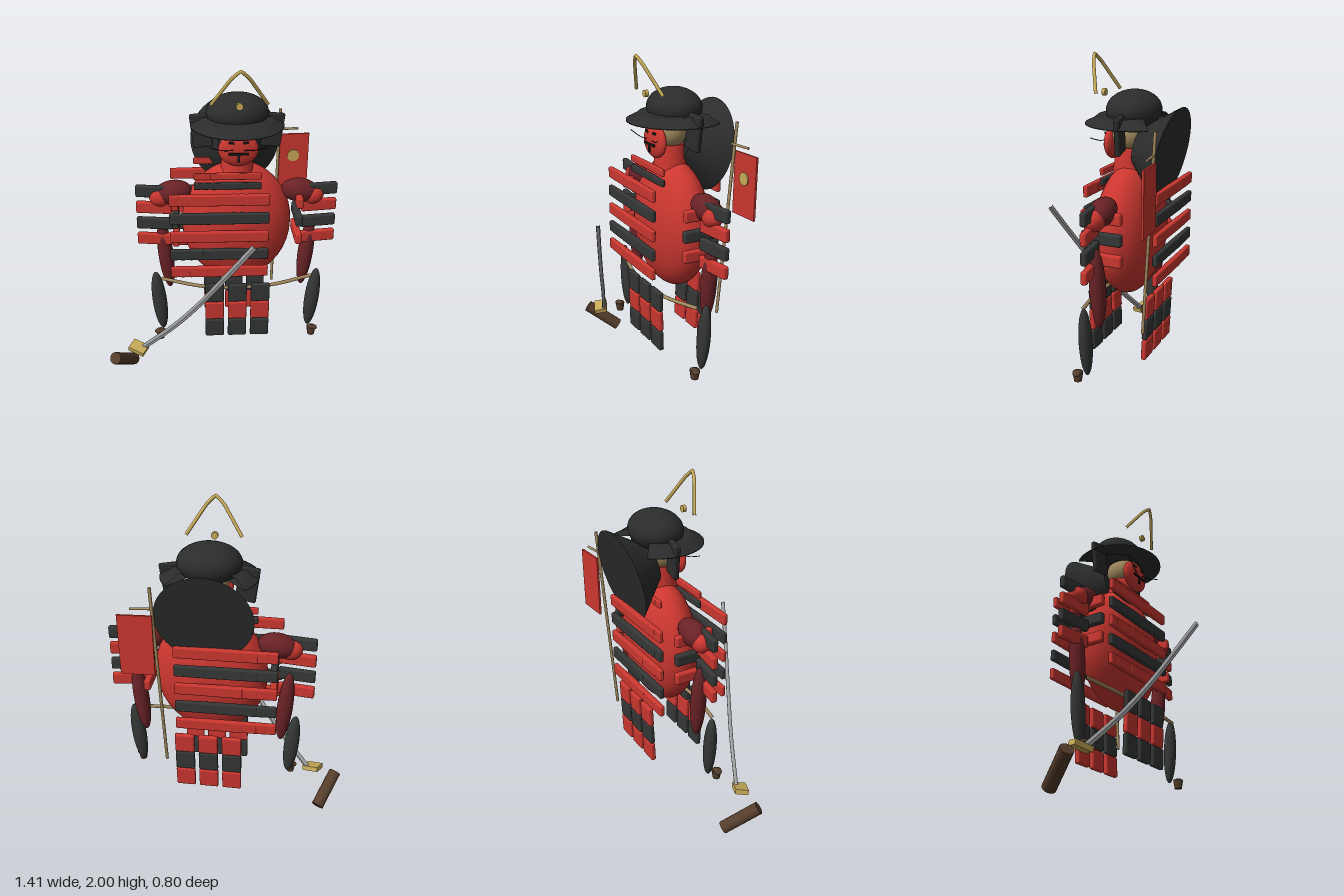
import * as THREE from 'three';
import { RoundedBoxGeometry } from 'three/addons/geometries/RoundedBoxGeometry.js';

const CX = 0.1; // the figure's own centre line
const V = (x, y, z) => new THREE.Vector3(x, y, z);

export function createModel() {
  const root = new THREE.Group();
  root.name = 'armouredWarrior';
  const paint = (name, color, side = THREE.FrontSide) => {
    const m = new THREE.MeshStandardMaterial({ color, side });
    m.name = name;
    return m;
  };
  const red = paint('lacquerRed', 0xcc3730);
  const black = paint('lacquerBlack', 0x353737);
  const iron = paint('helmetIron', 0x2b2c2c, THREE.DoubleSide);
  const maroon = paint('darkRed', 0x692226);
  const gold = paint('gold', 0xc8aa58);
  const tan = paint('tan', 0xa38b5f);
  const brown = paint('brown', 0x553d2b);
  const steel = paint('steel', 0xa2a3a5);
  const ink = paint('ink', 0x161616);

  const add = (name, geo, mat, p, rot = [0, 0, 0], parent = root) => {
    const m = new THREE.Mesh(geo, mat);
    m.name = name;
    m.position.set(...p);
    m.rotation.set(...rot);
    parent.add(m);
    return m;
  };
  const ball = (name, mat, p, r, rot) =>
    add(name, new THREE.SphereGeometry(1, 32, 20), mat, p, rot).scale.set(...r);
  const plate = (name, mat, p, [w, h, d], rot, parent) =>
    add(name, new RoundedBoxGeometry(w, h, d, 2, Math.min(w, h, d) * 0.3), mat, p, rot, parent);
  const rod = (name, mat, a, b, r) => {
    const m = add(name, new THREE.CylinderGeometry(r, r, a.distanceTo(b), 20), mat,
      a.clone().add(b).multiplyScalar(0.5).toArray());
    m.quaternion.setFromUnitVectors(V(0, 1, 0), b.clone().sub(a).normalize());
    return m;
  };
  const tube = (name, mat, pts, r, tension = 0.5) =>
    add(name, new THREE.TubeGeometry(
      new THREE.CatmullRomCurve3(pts, false, 'catmullrom', tension), 32, r, 8), mat, [0, 0, 0]);

  // Body, neck and head
  ball('torso', red, [CX, 1.02, -0.11], [0.33, 0.385, 0.18]);
  add('neck', new THREE.CylinderGeometry(0.08, 0.1, 0.14, 24), red, [CX, 1.425, -0.1]);
  ball('head', tan, [CX, 1.565, -0.09], [0.1, 0.1, 0.1]);

  // Face mask with painted features
  ball('mask', red, [CX, 1.517, 0], [0.115, 0.098, 0.037]);
  add('moustache', new THREE.BoxGeometry(0.115, 0.014, 0.008), ink, [CX, 1.502, 0.037]);
  add('chinTuft', new THREE.BoxGeometry(0.016, 0.045, 0.008), ink, [CX, 1.478, 0.036]);
  for (const s of [-1, 1]) {
    add('eye', new THREE.BoxGeometry(0.032, 0.013, 0.008), ink,
      [CX + s * 0.04, 1.566, 0.03], [0, 0, s * 0.15]);
    tube('whisker', ink, [V(CX + s * 0.03, 1.525, 0.036), V(CX + s * 0.09, 1.53, 0.05),
      V(CX + s * 0.165, 1.555, 0.07)], 0.0025);
  }

  // Helmet: dome, brim open at the rear, side turnbacks
  ball('helmetDome', iron, [CX, 1.7, -0.12], [0.18, 0.11, 0.15]);
  const brimProfile = [[0.1, 1.645], [0.27, 1.622], [0.27, 1.63], [0.22, 1.655], [0.2, 1.672], [0.1, 1.672]]
    .map(([x, y]) => new THREE.Vector2(x, y));
  add('helmetBrim', new THREE.LatheGeometry(brimProfile, 48, -2.25, 4.5), iron, [CX, 0, -0.12]);
  for (const s of [-1, 1])
    plate('helmetTurnback', iron, [CX + s * 0.207, 1.59, -0.127], [0.115, 0.2, 0.03], [0, s * 0.12, -s * 0.13]);

  // Flared neck guard behind the head
  add('neckGuard', new THREE.CylinderGeometry(0.11, 0.27, 0.19, 48), iron, [CX, 1.481, -0.249], [1.373, 0, 0]);

  // Gold crest
  tube('crestHorns', gold, [V(-0.055, 1.79, 0.037), V(0.05, 1.945, 0.1), V(CX, 1.99, 0.118),
    V(0.15, 1.945, 0.1), V(0.255, 1.79, 0.037)], 0.01, 0.15);
  add('crestDisc', new THREE.CylinderGeometry(0.02, 0.02, 0.02, 16), gold, [CX, 1.785, 0.06], [Math.PI / 2, 0, 0]);

  // Rows of overlapping scales
  const scaleRow = (name, mat, y, z, starts, w, h, d, dir) => {
    const row = new THREE.Group();
    row.name = name;
    root.add(row);
    starts.forEach((x, i) =>
      plate('scale', mat, [x + w / 2, y, z + dir * i * 0.002], [w, h, d], [0, 0, 0], row));
  };
  for (let i = 0; i < 5; i++) {
    const mat = i % 2 ? black : red;
    const y = 1.25 - i * 0.1165;
    const starts = [-0.3, -0.245, -0.19, -0.108];
    scaleRow('chestRow', mat, y, 0.094, starts, 0.385, 0.067, 0.028, 1);
    scaleRow('backRow', mat, y, -0.315, starts, 0.385, 0.067, 0.028, -1);
  }
  [[red, 1.362], [black, 1.303]].forEach(([mat, y]) => {
    scaleRow('collarFront', mat, y, 0.015, [-0.155, -0.11, -0.06], 0.295, 0.04, 0.022, 1);
  });
  scaleRow('collarBack', red, 1.362, -0.235, [-0.155, -0.11, -0.06], 0.295, 0.04, 0.022, -1);

  // Both sides: flank plates, arms, shoulder guards, legs
  for (const s of [-1, 1]) {
    for (let i = 0; i < 3; i++)
      plate('flankPlate', i % 2 ? black : red, [CX + s * 0.367, 1.18 - i * 0.117, -0.095], [0.04, 0.068, 0.235]);
    ball('upperArm', maroon, [CX + s * 0.38, 1.215, -0.107], [0.115, 0.073, 0.07], [0, 0, -s * 0.15]);
    ball('elbow', red, [CX + s * 0.455, 1.19, -0.1], [0.07, 0.06, 0.055], [0, 0, s * 0.3]);
    for (let i = 0; i < 4; i++)
      plate('shoulderGuard', i % 2 ? red : black, [CX + s * 0.495, 1.23 - i * 0.104, -0.09],
        [0.215, 0.073, 0.035], [0, s * 0.13, 0]);
    ball('thigh', maroon, [CX + s * 0.435, 0.8, -0.103], [0.047, 0.235, 0.045], [0, 0, s * -0.09]);
    ball('shin', black, [CX + s * 0.483, 0.495, -0.05], [0.045, 0.208, 0.036], [0, 0, s * -0.09]);
    add('foot', new THREE.CylinderGeometry(0.03, 0.022, 0.055, 10), brown, [CX + s * 0.482, 0.277, 0.002]);
    ball('toe', brown, [CX + s * 0.486, 0.298, 0.004], [0.034, 0.016, 0.026]);
  }

  // Skirt panels, front and back
  for (let c = -1; c <= 1; c++)
    for (let r = 0; r < 3; r++) {
      const y = 0.61 - r * 0.127;
      plate('frontSkirtPanel', r % 2 ? red : black, [CX + c * 0.14, y, 0.062 - r * 0.003], [0.115, 0.123, 0.03], [0.04, 0, 0]);
      plate('backSkirtPanel', r % 2 ? black : red, [CX + c * 0.14, y, -0.278 + r * 0.004], [0.115, 0.123, 0.03], [-0.04, 0, 0]);
    }

  // Waist cord
  tube('waistCord', tan, [V(-0.365, 0.673, -0.02), V(-0.12, 0.645, 0.035), V(CX, 0.635, 0.045),
    V(0.32, 0.645, 0.035), V(0.565, 0.673, -0.02)], 0.011);

  // Back banner
  rod('bannerPole', tan, V(0.35, 0.49, -0.287), V(0.377, 1.64, -0.357), 0.009);
  rod('bannerCrossbar', tan, V(0.355, 1.515, -0.345), V(0.49, 1.515, -0.36), 0.007);
  const banner = new THREE.Group();
  banner.name = 'banner';
  banner.position.set(0.467, 1.3, -0.364);
  banner.rotation.y = 0.05;
  root.add(banner);
  add('bannerCloth', new THREE.BoxGeometry(0.19, 0.36, 0.012), red, [0, 0, 0], [0, 0, 0], banner);
  add('bannerDisc', new THREE.CylinderGeometry(0.037, 0.037, 0.008, 24), gold,
    [0, 0.04, 0.01], [Math.PI / 2, 0, 0], banner);

  // Sword: curved blade, guard and grip
  const bladePath = [V(-0.5, 0.225, 0.07), V(-0.3, 0.44, 0.16), V(-0.135, 0.655, 0.243),
    V(0.02, 0.885, 0.32), V(0.165, 1.105, 0.39)];
  tube('bladeEdge', steel, bladePath, 0.012);
  tube('bladeSpine', steel, bladePath.map((p) => p.clone().add(V(0.008, -0.008, 0.003))), 0.01);
  add('swordGuard', new THREE.BoxGeometry(0.105, 0.03, 0.08), gold, [-0.523, 0.228, 0.082], [0.2, -0.45, -0.15]);
  rod('swordGrip', brown, V(-0.67, 0.174, 0.113), V(-0.571, 0.031, -0.068), 0.038);

  return root;
}
